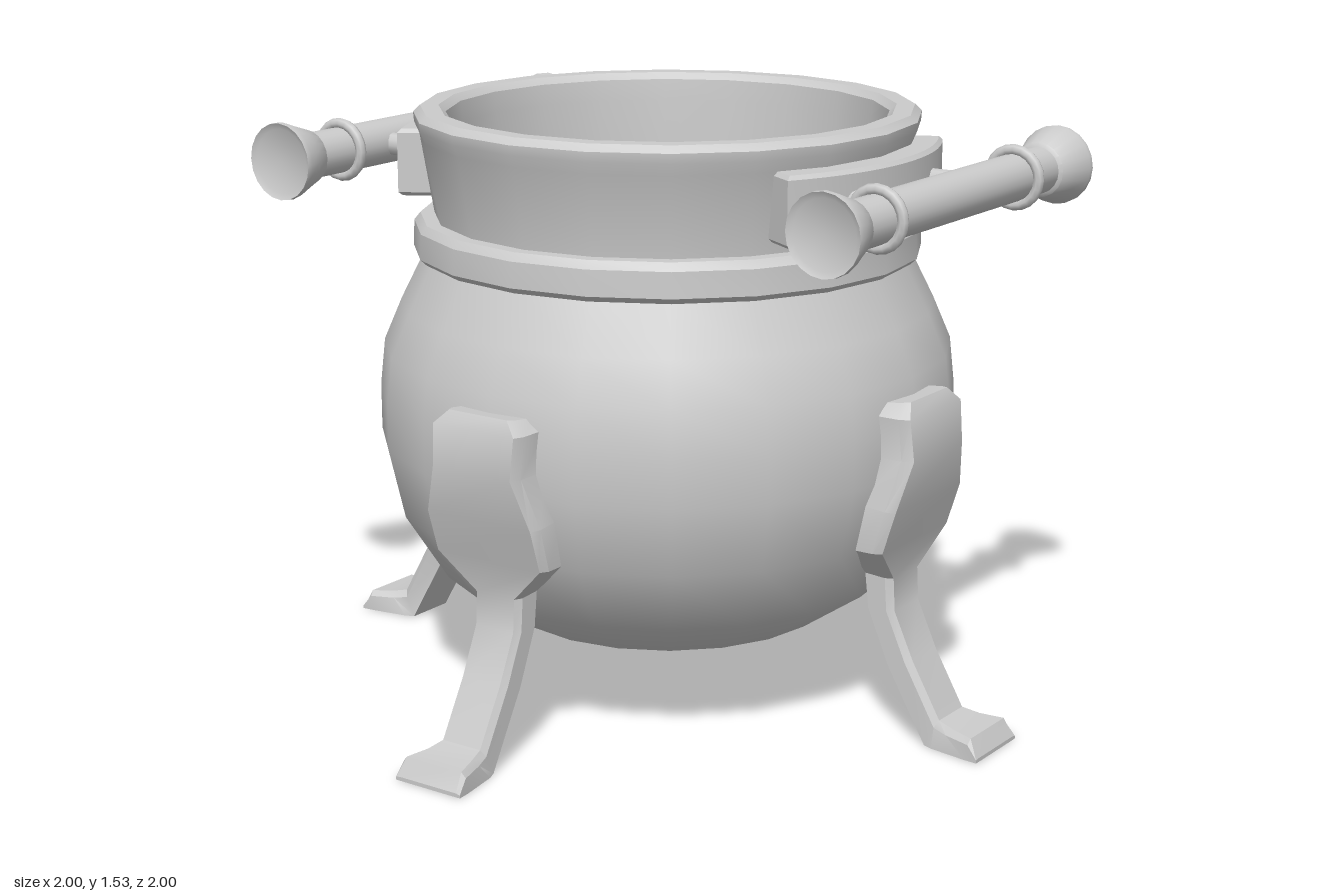
import * as THREE from 'three';
import { toCreasedNormals } from 'three/addons/utils/BufferGeometryUtils.js';

const grey = new THREE.MeshStandardMaterial({ color: 0xcccccc });
const greyDouble = new THREE.MeshStandardMaterial({ color: 0xcccccc, side: THREE.DoubleSide });

function part(name, geometry, parent, material = grey) {
  const mesh = new THREE.Mesh(geometry, material);
  mesh.name = name;
  parent.add(mesh);
  return mesh;
}

// Turned shape from [radius, height] pairs, listed upwards on the outside
function turned(points, sides, crease = 0.6) {
  const profile = points.map(([r, y]) => new THREE.Vector2(r, y));
  return toCreasedNormals(new THREE.LatheGeometry(profile, sides), crease);
}

// Leg cross-sections from the top plate to the toe: outer x, y, inner x, y, half width
const LEG = [
  [0.785, 0.885, 0.70, 0.875, 0.10], [0.805, 0.85, 0.70, 0.85, 0.135],
  [0.815, 0.745, 0.70, 0.745, 0.13], [0.79, 0.62, 0.69, 0.63, 0.17],
  [0.755, 0.51, 0.67, 0.51, 0.17], [0.73, 0.415, 0.655, 0.42, 0.07],
  [0.735, 0.33, 0.665, 0.33, 0.07], [0.79, 0.21, 0.725, 0.19, 0.07],
  [0.87, 0.07, 0.835, 0, 0.07], [0.915, 0.06, 0.86, 0, 0.08],
  [0.975, 0.055, 0.965, 0, 0.097], [1, 0.01, 1, 0, 0.1],
];
const HOLLOW = 9; // the segment whose sole is left open

function legGeometry() {
  const positions = [];
  const index = [];
  const n = 6;
  for (const [ox, oy, ix, iy, w] of LEG) {
    const mx = ix + (ox - ix) * 0.75;
    const my = iy + (oy - iy) * 0.75;
    const c = w - 0.012; // small chamfer along the outer edges
    positions.push(ix, iy, -w, ix, iy, w, mx, my, w, ox, oy, c, ox, oy, -c, mx, my, -w);
  }
  for (let s = 0; s < LEG.length - 1; s++) {
    for (let k = 0; k < n; k++) {
      if (s === HOLLOW && k === 0) continue;
      const a = s * n + k;
      const b = s * n + (k + 1) % n;
      index.push(a, a + n, b, b, a + n, b + n);
    }
  }
  const last = (LEG.length - 1) * n;
  for (let k = 1; k < n - 1; k++) {
    index.push(0, k, k + 1, last, last + k + 1, last + k);
  }
  const geometry = new THREE.BufferGeometry();
  geometry.setAttribute('position', new THREE.Float32BufferAttribute(positions, 3));
  geometry.setIndex(index);
  return toCreasedNormals(geometry, 0.5);
}

// Curved plate that hugs the neck
function plateGeometry() {
  const half = 0.53;
  const shape = new THREE.Shape();
  shape.absarc(0, 0, 0.69, -Math.PI / 2 - half, -Math.PI / 2 + half, false);
  shape.absarc(0, 0, 0.6, -Math.PI / 2 + half, -Math.PI / 2 - half, true);
  const geometry = new THREE.ExtrudeGeometry(shape, {
    depth: 0.155, bevelEnabled: true, bevelThickness: 0.01, bevelSize: 0.01,
    bevelSegments: 1, curveSegments: 8,
  });
  geometry.rotateX(-Math.PI / 2);
  geometry.translate(0, 1.295, 0);
  return toCreasedNormals(geometry, 0.5);
}

function createHandle() {
  const handle = new THREE.Group();
  handle.name = 'handle';
  part('handlePlate', plateGeometry(), handle);

  // Bar with flared ends
  const end = [[0, 0.555], [0.085, 0.557], [0.1, 0.565], [0.101, 0.55], [0.085, 0.505], [0.07, 0.46], [0.06, 0.455]];
  const profile = [...end.map(([r, y]) => [r, -y]), ...[...end].reverse()];
  const bar = part('handleBar', turned(profile, 20, 0.8), handle);
  bar.rotation.z = Math.PI / 2;
  bar.position.set(0, 1.38, 0.823);

  for (const side of [-1, 1]) {
    const ring = part('handleRing', new THREE.TorusGeometry(0.07, 0.014, 8, 20), handle);
    ring.rotation.y = Math.PI / 2;
    ring.position.set(side * 0.33, 1.38, 0.823);

    const peg = part('handlePeg', new THREE.CylinderGeometry(0.03, 0.03, 0.2, 12), handle);
    peg.rotation.x = Math.PI / 2;
    peg.position.set(side * 0.18, 1.38, 0.72);
  }
  return handle;
}

export function createModel() {
  const model = new THREE.Group();
  model.name = 'cauldron';

  // Round belly, outside then inside
  part('belly', turned([
    [0, 0.135], [0.14, 0.138], [0.27, 0.155], [0.43, 0.21], [0.6, 0.325], [0.71, 0.5],
    [0.75, 0.68], [0.75, 0.8], [0.737, 0.92], [0.69, 1.03], [0.62, 1.17],
    [0.56, 1.2], [0.63, 1.03], [0.69, 0.85], [0.69, 0.68], [0.65, 0.52], [0.55, 0.38],
    [0.39, 0.27], [0.21, 0.215], [0, 0.215],
  ], 20), model);

  // Flared neck with a rounded lip
  part('neck', turned([
    [0.595, 1.17], [0.6, 1.25], [0.635, 1.46], [0.648, 1.49], [0.65, 1.515],
    [0.632, 1.532], [0.585, 1.532], [0.567, 1.515], [0.562, 1.46], [0.555, 1.17],
  ], 20), model);

  // Raised band where neck meets belly
  part('band', turned([
    [0.58, 1.155], [0.64, 1.155], [0.656, 1.17], [0.653, 1.235], [0.637, 1.255], [0.58, 1.255],
  ], 20), model);

  // Four legs around the belly
  const leg = legGeometry();
  for (let i = 0; i < 4; i++) {
    part('leg', leg, model, greyDouble).rotation.y = i * Math.PI / 2;
  }

  // Handles at front and back
  for (const turn of [0, Math.PI]) {
    const handle = createHandle();
    handle.rotation.y = turn;
    model.add(handle);
  }
  return model;
}
